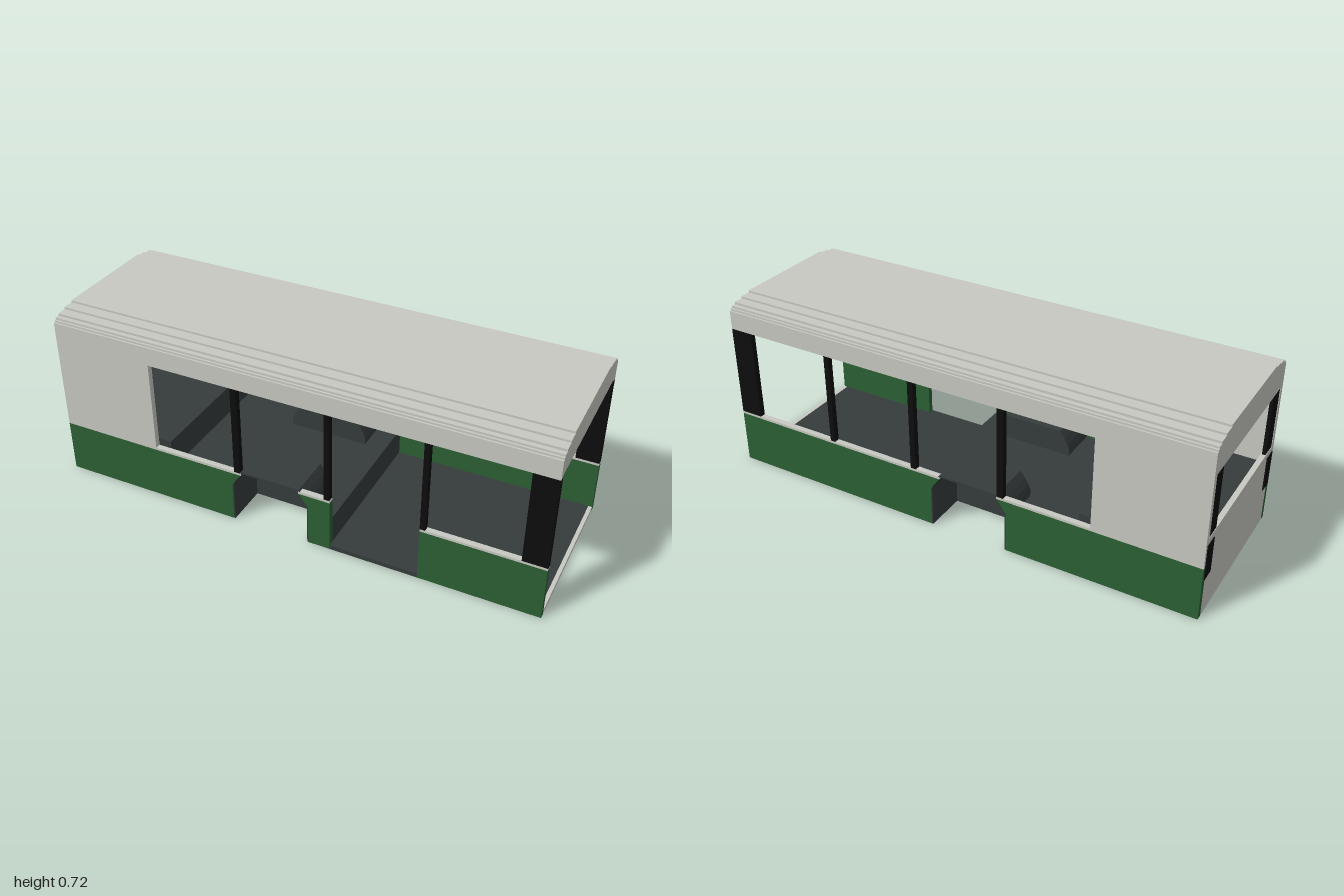
import * as THREE from 'three';

const paint = (name, color) => Object.assign(new THREE.MeshStandardMaterial({ color }), { name });

export function createModel() {
  const white = paint('offWhite', 0xc8c8c2);
  const green = paint('green', 0x2b6033);
  const dark = paint('darkGrey', 0x353b3c);
  const black = paint('black', 0x0d0d0d);

  const model = new THREE.Group();
  model.name = 'vehicleBody';
  const OUT = 0.343, IN = 0.32; // outer and inner half width

  // Box given by its minimum and maximum corners
  function box(name, mat, x0, x1, y0, y1, z0, z1) {
    const mesh = new THREE.Mesh(new THREE.BoxGeometry(x1 - x0, y1 - y0, z1 - z0), mat);
    mesh.position.set((x0 + x1) / 2, (y0 + y1) / 2, (z0 + z1) / 2);
    mesh.name = name;
    model.add(mesh);
  }
  // Box spanning a z range on one side (s = 1 or -1)
  function sideBox(name, mat, s, x0, x1, y0, y1, z0 = IN, z1 = OUT) {
    box(name, mat, x0, x1, y0, y1, s > 0 ? z0 : -z1, s > 0 ? z1 : -z0);
  }
  // Outline in x, y extruded between two z distances on one side
  function sidePanel(name, mat, s, points, z0 = IN, z1 = OUT) {
    const shape = new THREE.Shape(points.map(p => new THREE.Vector2(...p)));
    const geo = new THREE.ExtrudeGeometry(shape, { depth: z1 - z0, bevelEnabled: false });
    const mesh = new THREE.Mesh(geo, mat);
    mesh.position.z = s > 0 ? z0 : -z1;
    mesh.name = name;
    model.add(mesh);
  }

  // Stepped roof with shallow side skirts
  const half = [[IN, 0.613], [IN, 0.605], [OUT, 0.605], [OUT, 0.682], [0.336, 0.682], [0.336, 0.69],
    [0.328, 0.69], [0.328, 0.698], [0.31, 0.698], [0.31, 0.707], [0.27, 0.707], [0.27, 0.715],
    [0.226, 0.715], [0.226, 0.723]];
  const outline = [...half, ...half.map(([z, y]) => [-z, y]).reverse()];
  const roofGeo = new THREE.ExtrudeGeometry(
    new THREE.Shape(outline.map(p => new THREE.Vector2(...p))), { depth: 2, bevelEnabled: false });
  roofGeo.rotateY(Math.PI / 2);
  roofGeo.translate(-1, 0, 0);
  const roof = new THREE.Mesh(roofGeo, white);
  roof.name = 'roof';
  model.add(roof);

  // Wheel housing outline, with rounded shoulders, inset by t
  const arch = t => {
    const l = -0.243 + t, r = 0.088 - t, top = 0.236 - t;
    return [[l, 0], [l, 0.165], [l + 0.008, 0.185], [l + 0.022, 0.209], [l + 0.042, top],
      [r - 0.042, top], [r - 0.022, 0.209], [r - 0.008, 0.185], [r, 0.165], [r, 0]];
  };

  for (const s of [1, -1]) {
    // Lower panels, leaving the wheel arch open; a doorway on the front side only
    sidePanel('lowerPanelRear', green, s,
      [[-1, 0], [-0.24, 0], [-0.24, 0.165], [-0.202, 0.219], [-1, 0.219]]);
    const end = s > 0 ? 0.175 : 1;
    sidePanel('lowerPanelFront', green, s,
      [[0.085, 0], [end, 0], [end, 0.219], [0.047, 0.219], [0.085, 0.165]]);
    if (s > 0) sideBox('lowerPanelNose', green, s, 0.53, 1, 0, 0.219);

    // Window sill strip
    sideBox('sillRear', white, s, -1, -0.2, 0.219, 0.229);
    sideBox('sillFront', white, s, 0.045, end, 0.219, 0.229);
    if (s > 0) sideBox('sillNose', white, s, 0.53, 1, 0.219, 0.229);

    // Solid rear quarter and window pillars
    sideBox('rearQuarter', white, s, -1, -0.58, 0.229, 0.605);
    for (const [a, b] of [[-0.229, -0.203], [0.15, 0.173], [0.53, 0.551], [0.906, 1]])
      sideBox('pillar', black, s, a, b, 0.229, 0.605);

    // Wheel housing: arched shell and inner wall
    sidePanel('wheelHousing', dark, s, [...arch(0), ...arch(0.008).reverse()], 0.16, 0.342);
    sidePanel('wheelHousingWall', dark, s, arch(0.004), 0.16, 0.168);

    // Rear window edge bands and tail lights
    sideBox('rearWindowBand', black, s, -0.998, -0.985, 0.335, 0.59, 0.252, IN);
    sideBox('tailLight', black, s, -1.003, -0.997, 0.165, 0.31, 0.272, 0.33);

    // Raised floor beside the housings
    sideBox('raisedFloorEdge', dark, s, 0.085, 0.175, 0.118, 0.135, 0.16, IN);
    sideBox('raisedFloorEdge', dark, s, -0.53, -0.24, 0.118, 0.135, 0.16, IN);
  }

  // Floors, step and rear platform
  box('lowFloor', dark, 0.157, 0.985, 0, 0.018, -IN, IN);
  box('doorStep', dark, 0.175, 0.53, 0, 0.018, IN, OUT);
  box('frontSill', white, 0.985, 1, 0, 0.018, -IN, IN);
  box('stepRiser', dark, 0.157, 0.175, 0.018, 0.135, -IN, IN);
  box('raisedFloor', dark, -0.53, 0.16, 0.118, 0.135, -0.16, 0.16);
  box('rearPlatform', dark, -0.98, -0.525, 0.118, 0.26, -IN, IN);

  // Rear wall around the window
  box('rearWall', white, -1, -0.98, 0, 0.335, -IN, IN);
  box('rearHeader', white, -1, -0.98, 0.588, 0.613, -IN, IN);

  return model;
}
